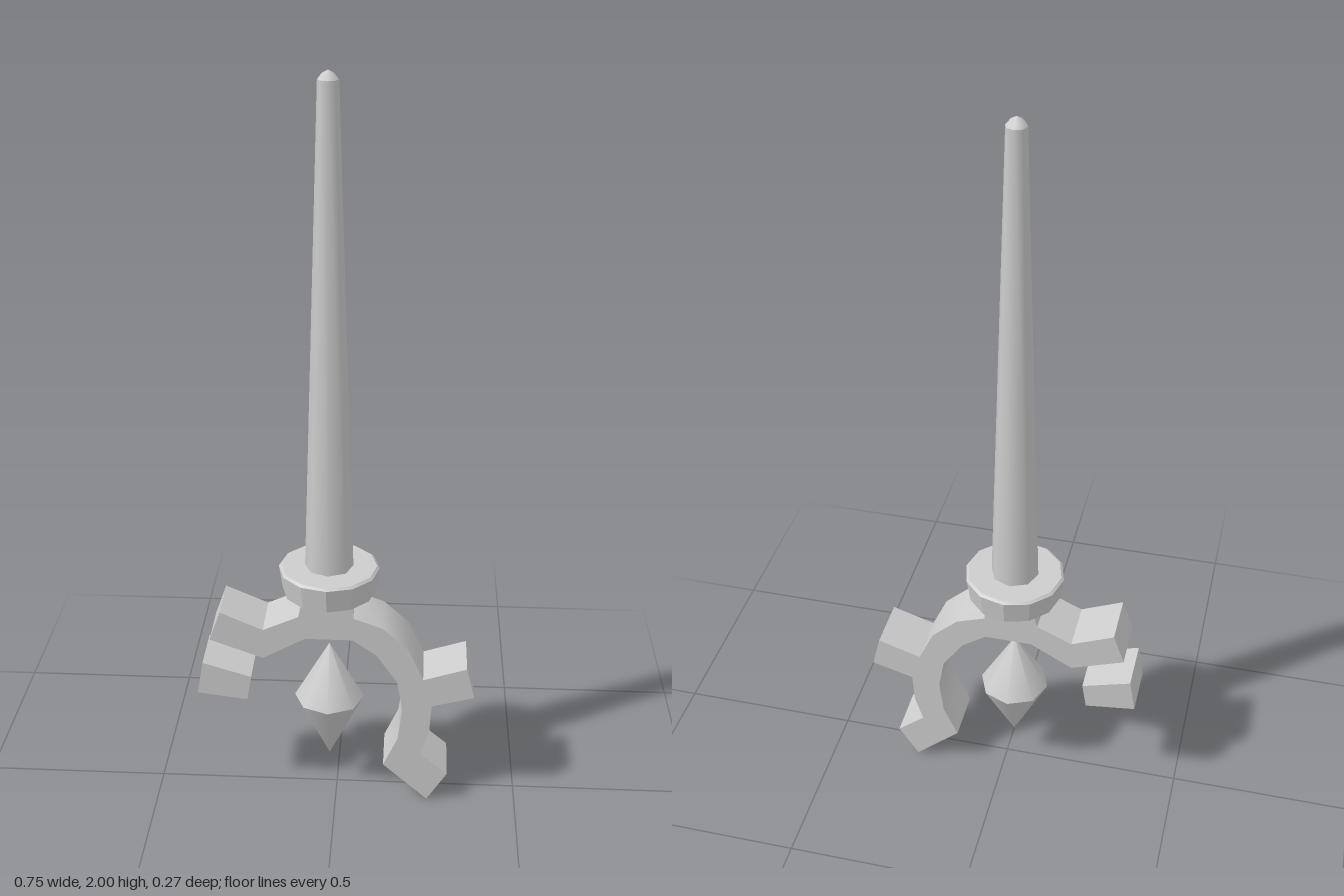
import * as THREE from 'three';
import { toCreasedNormals } from 'three/addons/utils/BufferGeometryUtils.js';

const AXIS_X = -0.021;
const DEPTH = 0.145;

const metal = new THREE.MeshStandardMaterial({ color: 0xcccccc });
metal.name = 'plain grey';

function addPart(group, name, geometry) {
  const mesh = new THREE.Mesh(geometry, metal);
  mesh.name = name;
  group.add(mesh);
  return mesh;
}

// Turned part around the blade's axis, profile listed from bottom to top
function turned(profile, sides, crease) {
  const geometry = new THREE.LatheGeometry(profile.map(([r, y]) => new THREE.Vector2(r, y)), sides);
  geometry.translate(AXIS_X, 0, 0);
  return crease ? toCreasedNormals(geometry, crease) : geometry;
}

// Flat outline given depth, with gently bending walls kept smooth
function slab(outline) {
  const shape = new THREE.Shape(outline.map(([x, y]) => new THREE.Vector2(x, y)));
  const geometry = new THREE.ExtrudeGeometry(shape, { depth: DEPTH, bevelEnabled: false });
  geometry.translate(0, 0, -DEPTH / 2 - 0.001);
  return toCreasedNormals(geometry, 0.62);
}

export function createModel() {
  const model = new THREE.Group();
  model.name = 'brokenRingKey';

  // Tapering shaft and its small pointed cap
  addPart(model, 'shaft', turned([[0.065, 0.69], [0.026, 1.978]], 8));
  addPart(model, 'shaftTip', turned([[0.026, 1.978], [0.014, 1.993], [0, 2]], 8));

  // Collar, narrower underneath with a thin top chamfer
  addPart(model, 'collar', turned(
    [[0, 0.632], [0.125, 0.632], [0.135, 0.699], [0.128, 0.705], [0, 0.705]], 12, 0.4));

  // Broken toothed ring, outer edge first, then back along the inside
  addPart(model, 'brokenRing', slab([
    [-0.31, 0.59], [-0.195, 0.54], [-0.1, 0.583], [-0.087, 0.635], [0.047, 0.635], [0.047, 0.583],
    [0.125, 0.555], [0.195, 0.49], [0.237, 0.397], [0.354, 0.435], [0.376, 0.345],
    [0.262, 0.313], [0.257, 0.228], [0.235, 0.154], [0.31, 0.09], [0.255, 0.003],
    [0.132, 0.115], [0.171, 0.203], [0.182, 0.3], [0.167, 0.387], [0.11, 0.47], [0.045, 0.516],
    [-0.083, 0.516], [-0.197, 0.452], [-0.34, 0.505]
  ].reverse()));

  // Loose ring tooth
  addPart(model, 'looseTooth', slab([[-0.378, 0.335], [-0.242, 0.317], [-0.23, 0.39], [-0.362, 0.43]]));

  // Floating gem
  addPart(model, 'gemLower', turned([[0, 0.1], [0.096, 0.293]], 8));
  addPart(model, 'gemUpper', turned([[0.096, 0.293], [0, 0.462]], 8));

  return model;
}
